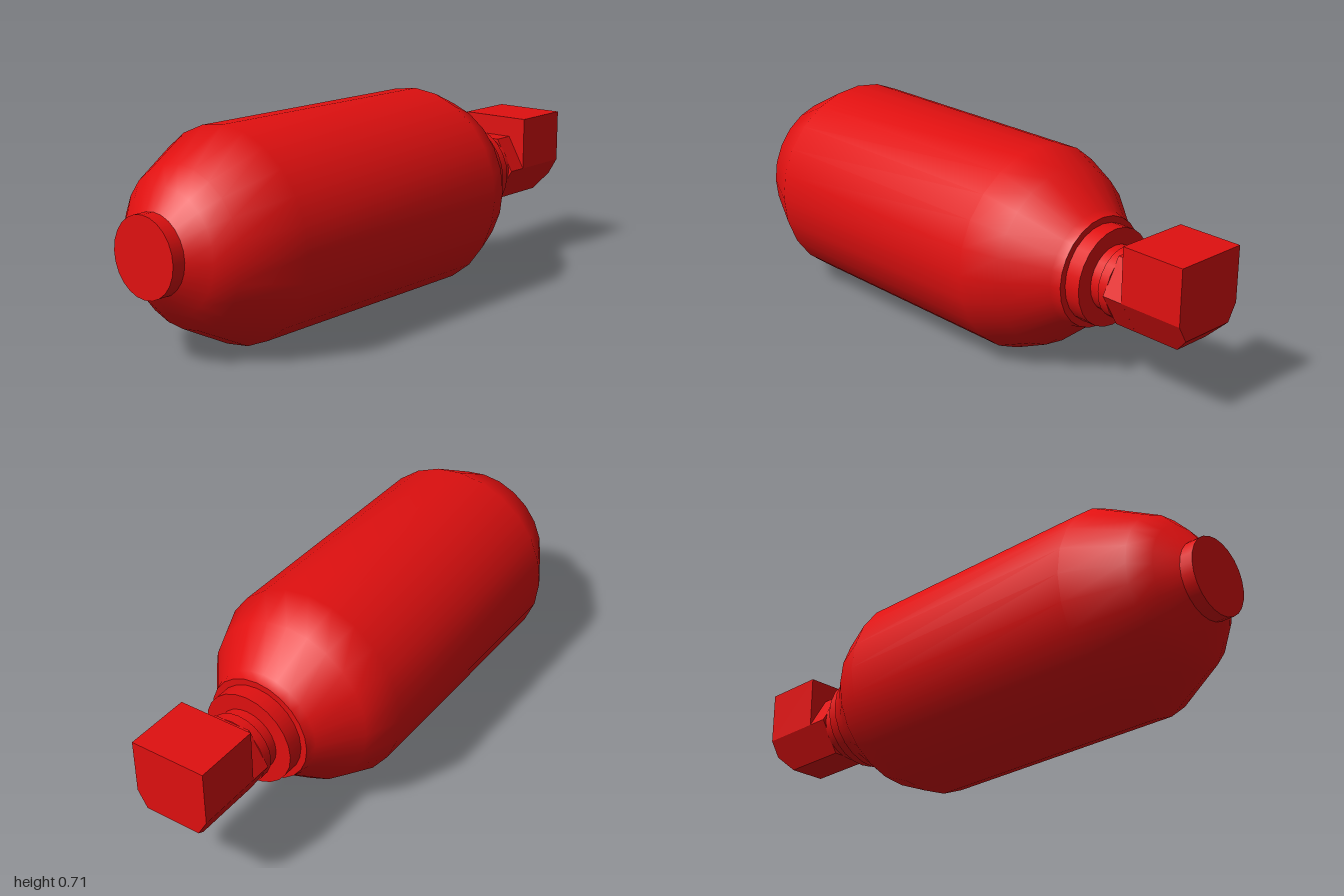
import * as THREE from 'three';
import { ConvexGeometry } from 'three/addons/geometries/ConvexGeometry.js';

const AXIS_Y = 0.353;

export function createModel() {
  const group = new THREE.Group();
  const smooth = new THREE.MeshStandardMaterial({ color: 0xe01010 });
  const flat = new THREE.MeshStandardMaterial({ color: 0xe01010, flatShading: true });

  const add = (name, geometry, material) => {
    const mesh = new THREE.Mesh(geometry, material);
    mesh.name = name;
    mesh.position.y = AXIS_Y;
    group.add(mesh);
  };

  // Closed cylinder lying along x, from x0 to x1
  const drum = (name, x0, x1, r, sides = 24, material = smooth) => {
    const g = new THREE.CylinderGeometry(r, r, x1 - x0, sides);
    g.rotateZ(-Math.PI / 2).translate((x0 + x1) / 2, 0, 0);
    add(name, g, material);
  };

  // Bottle: [x, radius] profile turned around the x axis
  const profile = [
    [-0.955, 0.13], [-0.905, 0.2], [-0.85, 0.258], [-0.665, 0.353],
    [0.28, 0.353], [0.4, 0.302], [0.53, 0.197], [0.565, 0.187],
  ];
  const bottle = new THREE.LatheGeometry(profile.map(([x, r]) => new THREE.Vector2(r, x)), 24);
  bottle.rotateZ(-Math.PI / 2);
  add('bottleBody', bottle, smooth);

  // End plug, shoulder and neck rings
  drum('endPlug', -1, -0.94, 0.131);
  drum('shoulderFace', 0.535, 0.565, 0.187);
  drum('collar', 0.56, 0.622, 0.165);
  drum('neck', 0.61, 0.67, 0.11);
  drum('washer', 0.662, 0.697, 0.12);
  drum('hexNut', 0.695, 0.775, 0.133, 6, flat);

  // Valve block: square top, half-hexagon underside, chamfered outer lower edge
  const corners = [];
  for (const s of [-1, 1]) {
    const point = (x, y, z) => corners.push(new THREE.Vector3(x, y, s * z));
    for (const x of [0.77, 1]) {
      point(x, 0.188, 0.133);
      point(x, 0, 0.133);
    }
    point(0.77, -0.115, 0.0665);
    point(0.943, -0.115, 0.0665);
    point(1, -0.0575, 0.09975);
  }
  add('valveBlock', new ConvexGeometry(corners), flat);

  return group;
}
